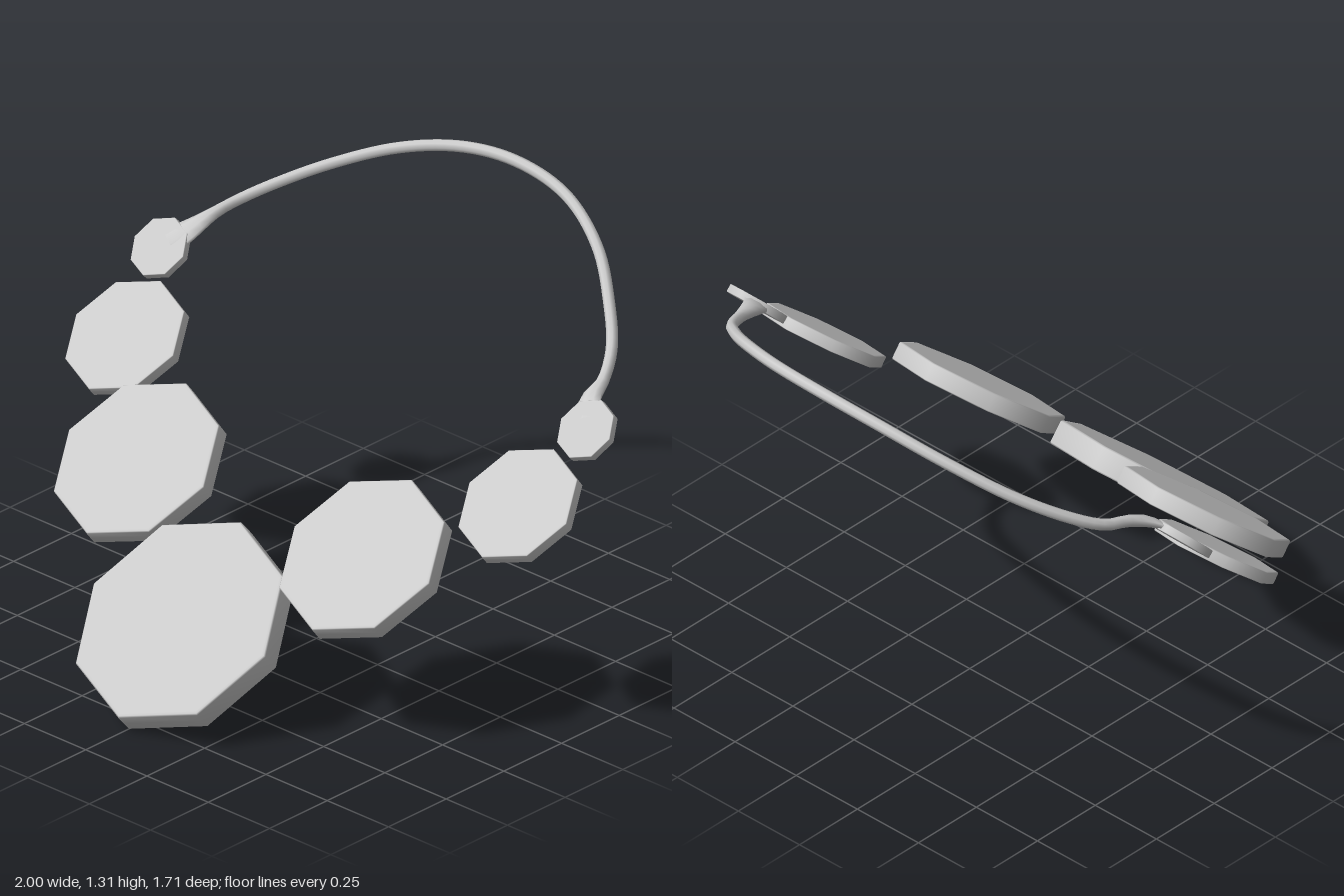
import * as THREE from 'three';

const material = new THREE.MeshStandardMaterial({ color: 0xcccccc });

// Eight-sided disc with a slightly eased rim, tipped forward by `tilt`
function makeDisc(name, radius, thickness, tilt, x, y, z) {
  const h = thickness / 2, e = thickness * 0.06;
  const profile = [
    [0, -h], [radius * 0.96, -h], [radius - e, -h], [radius, -h + e],
    [radius, 0],
    [radius, h - e], [radius - e, h], [radius * 0.96, h], [0, h],
  ].map(([r, v]) => new THREE.Vector2(r, v));
  const disc = new THREE.Mesh(new THREE.LatheGeometry(profile, 8), material);
  disc.name = name;
  disc.rotation.x = tilt;
  disc.position.set(x, y, z);
  return disc;
}

// Round cord whose ends flare flat into the small end discs
function makeCord(endTilt) {
  const path = new THREE.CatmullRomCurve3([
    [-0.85, 0.925, -0.265], [-0.81, 0.965, -0.31], [-0.785, 1.0, -0.39],
    [-0.765, 1.02, -0.475], [-0.705, 1.06, -0.56], [-0.58, 1.13, -0.67],
    [-0.39, 1.215, -0.768], [-0.18, 1.272, -0.823], [0.03, 1.29, -0.838],
    [0.26, 1.268, -0.808], [0.47, 1.2, -0.72], [0.62, 1.11, -0.61],
    [0.725, 1.035, -0.51], [0.785, 0.985, -0.41], [0.815, 0.96, -0.32],
    [0.855, 0.925, -0.265],
  ].map((p) => new THREE.Vector3(...p)));
  const rings = 72, sides = 8, radius = 0.018;
  const geometry = new THREE.TubeGeometry(path, rings, radius, sides);
  const pos = geometry.attributes.position;
  const normal = new THREE.Vector3(0, Math.cos(endTilt), Math.sin(endTilt));
  const p = new THREE.Vector3();
  for (let i = 0; i <= rings; i++) {
    const u = i / rings;
    const centre = path.getPointAt(u);
    // 1 at the tips, 0 along the free cord
    const flare = 1 - THREE.MathUtils.smoothstep(Math.min(u, 1 - u), 0, 0.085);
    for (let j = 0; j <= sides; j++) {
      const k = i * (sides + 1) + j;
      p.fromBufferAttribute(pos, k).sub(centre);
      const across = p.dot(normal);
      p.addScaledVector(normal, -across).multiplyScalar(1 + 1.6 * flare);
      p.addScaledVector(normal, across * (1 - 0.35 * flare)).add(centre);
      pos.setXYZ(k, p.x, p.y, p.z);
    }
  }
  // Smooth normals, welded across the tube seam
  geometry.computeVertexNormals();
  const n = geometry.attributes.normal;
  for (let i = 0; i <= rings; i++) {
    const a = i * (sides + 1), b = a + sides;
    p.fromBufferAttribute(n, a);
    p.add(new THREE.Vector3().fromBufferAttribute(n, b)).normalize();
    n.setXYZ(a, p.x, p.y, p.z);
    n.setXYZ(b, p.x, p.y, p.z);
  }
  const cord = new THREE.Mesh(geometry, material);
  cord.name = 'neckCord';
  return cord;
}

export function createModel() {
  const group = new THREE.Group();
  group.name = 'necklace';

  // Large centre disc
  group.add(makeDisc('centreDisc', 0.35, 0.078, 0.71, 0, 0.255, 0.57));

  // Paired discs, shrinking towards the cord
  const endTilt = 0.8;
  const pairs = [
    ['LargeDisc', 0.275, 0.058, 0.67, 0.46, 0.527, 0.275],
    ['MediumDisc', 0.198, 0.038, 0.67, 0.802, 0.71, -0.032],
    ['EndDisc', 0.099, 0.026, endTilt, 0.87, 0.905, -0.25],
  ];
  for (const [name, r, t, tilt, x, y, z] of pairs) {
    for (const [side, s] of [['left', 1], ['right', -1]]) {
      group.add(makeDisc(side + name, r, t, tilt, s * x, y, z));
    }
  }

  group.add(makeCord(endTilt));
  return group;
}
